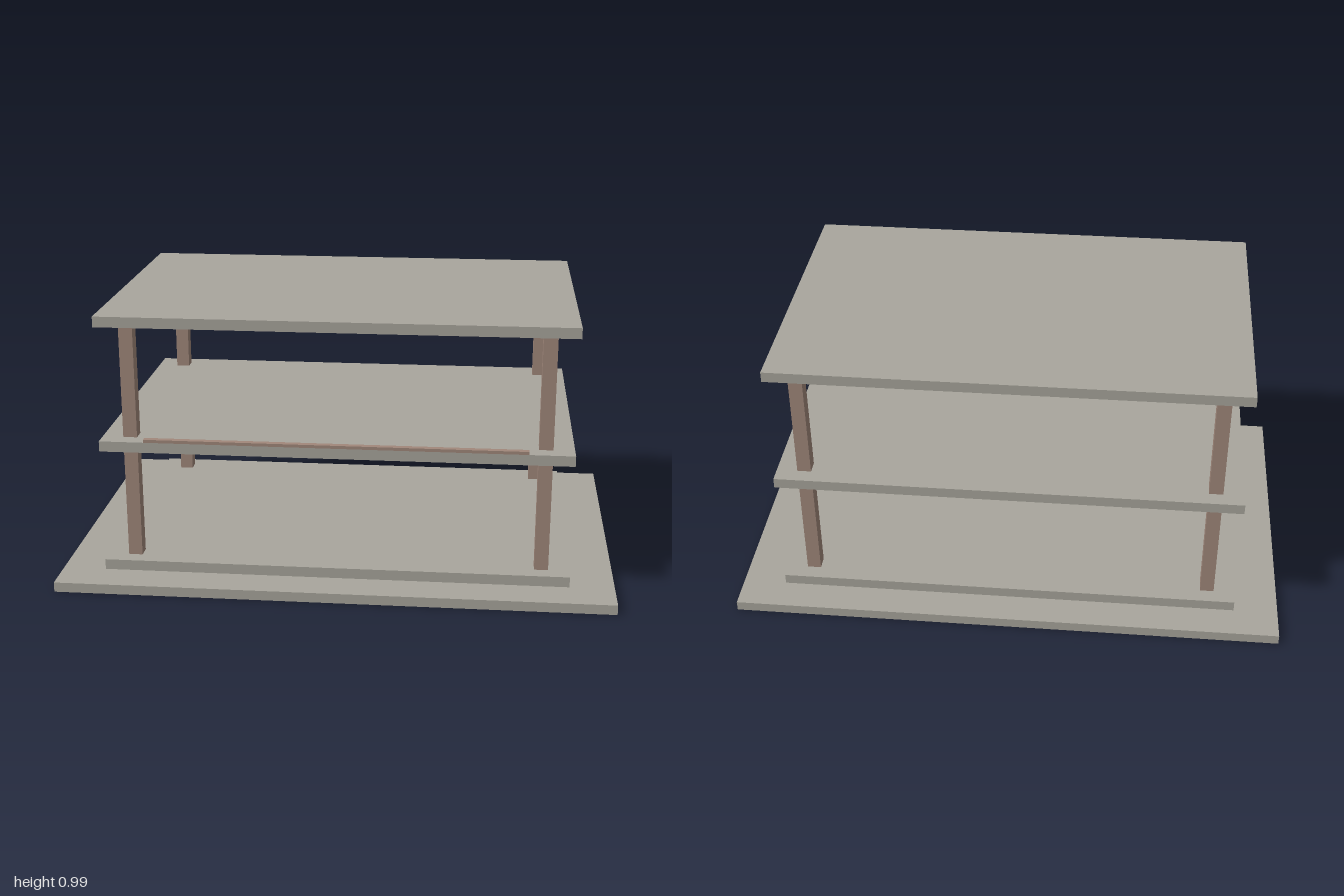
import * as THREE from 'three';

export function createModel() {
  const model = new THREE.Group();
  const concrete = new THREE.MeshStandardMaterial({ name: 'concrete', color: 0xa9a69d });
  const brown = new THREE.MeshStandardMaterial({ name: 'brown', color: 0xa1887b });

  // Box placed by its centre in x and z and its bottom and top heights
  function block(name, material, width, depth, bottom, top, x = 0, z = 0) {
    const mesh = new THREE.Mesh(new THREE.BoxGeometry(width, top - bottom, depth), material);
    mesh.name = name;
    mesh.position.set(x, (bottom + top) / 2, z);
    model.add(mesh);
  }

  // Wide ground plate
  block('basePlate', concrete, 2, 1.316, 0, 0.036);

  // Ground floor, upper floor and roof, all the same slab
  const slabs = [['groundFloor', 0.046], ['upperFloor', 0.5], ['roofSlab', 0.955]];
  for (const [name, y] of slabs) block(name, concrete, 1.676, 1.09, y, y + 0.038);

  // Corner columns, running through the upper floor into the roof
  for (const x of [-0.738, 0.738]) {
    for (const z of [-0.464, 0.464]) block('column', brown, 0.05, 0.05, 0.07, 0.98, x, z);
  }

  // Low lip along the front edge of the upper floor
  block('frontLip', brown, 1.356, 0.022, 0.538, 0.549, 0, 0.534);

  return model;
}
